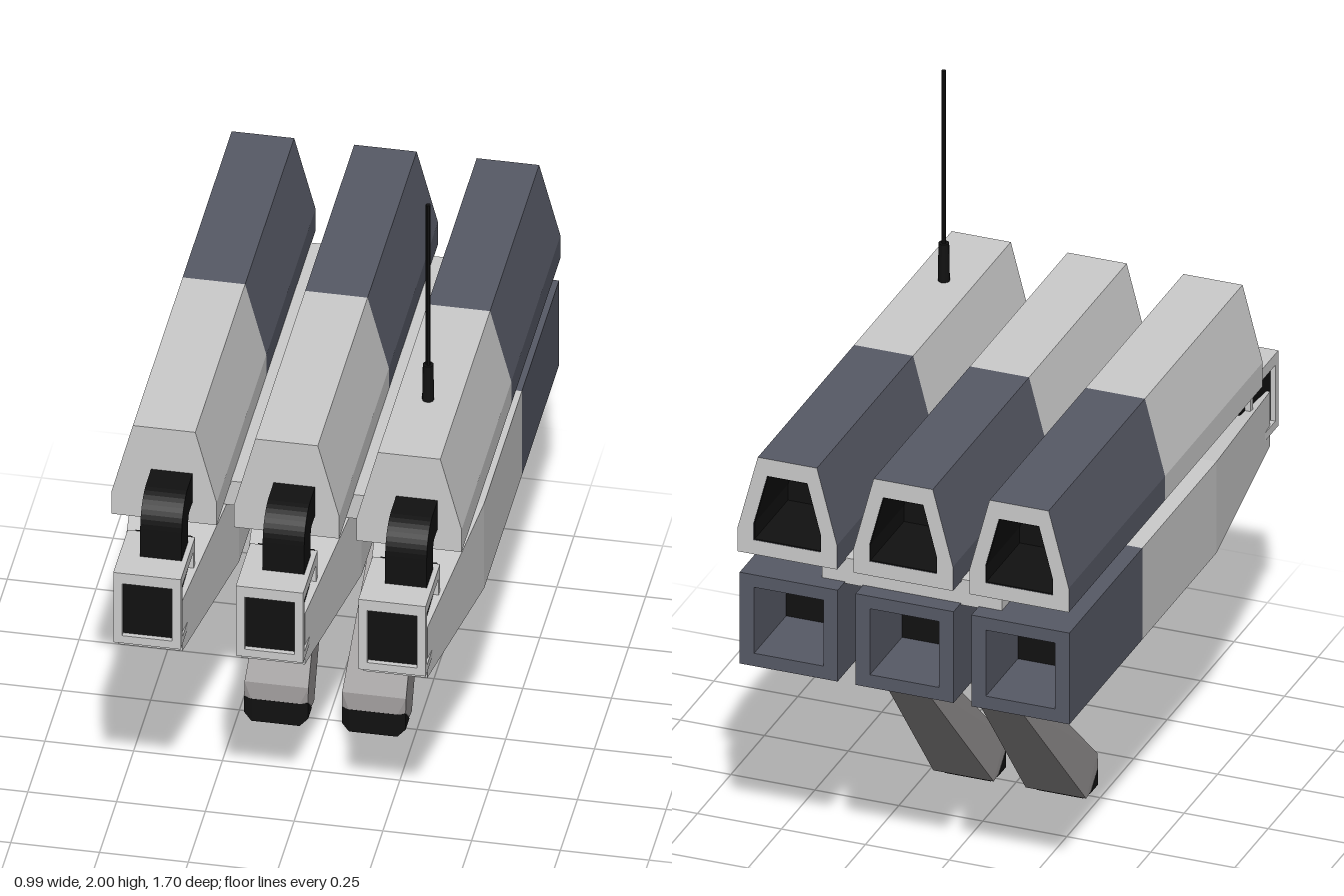
import * as THREE from 'three';
import { ConvexGeometry } from 'three/addons/geometries/ConvexGeometry.js';

const mat = (color) => new THREE.MeshStandardMaterial({ color, flatShading: true });
const grey = mat(0xcccccc), slate = mat(0x575a66), black = mat(0x111111), legGrey = mat(0x928f8f);

function add(parent, name, geometry, material) {
  const mesh = new THREE.Mesh(geometry, material);
  mesh.name = name;
  parent.add(mesh);
  return mesh;
}

// Box given by its limits on each axis
function box(x0, x1, y0, y1, z0, z1) {
  return new THREE.BoxGeometry(x1 - x0, y1 - y0, z1 - z0)
    .translate((x0 + x1) / 2, (y0 + y1) / 2, (z0 + z1) / 2);
}

// Convex solid mirrored in x, from [halfWidth, y, z] corners
function mirroredHull(corners) {
  return new ConvexGeometry(corners.flatMap(([x, y, z]) =>
    [new THREE.Vector3(x, y, z), new THREE.Vector3(-x, y, z)]));
}

// Straight prism along z, with an optional hole outline
function prism(outline, z0, z1, hole) {
  const points = (list) => list.map(([x, y]) => new THREE.Vector2(x, y));
  const shape = new THREE.Shape(points(outline));
  if (hole) shape.holes.push(new THREE.Path(points(hole)));
  return new THREE.ExtrudeGeometry(shape, { depth: z1 - z0, bevelEnabled: false }).translate(0, 0, z0);
}

const scaled = (outline, s, cy) => outline.map(([x, y]) => [x * s, cy + (y - cy) * s]);

// Outline of the upper barrels
const barrel = [[-0.148, 1.04], [0.148, 1.04], [0.148, 1.115], [0.088, 1.345], [-0.088, 1.345], [-0.148, 1.115]];
const square = (h) => [[-h, 0.828 - h], [h, 0.828 - h], [h, 0.828 + h], [-h, 0.828 + h]];

// Bent feed pipe of rectangular section
function elbowGeometry() {
  const s = new THREE.Shape();
  s.moveTo(0.59, 1.205);
  s.lineTo(0.67, 1.205);
  s.absarc(0.67, 1.115, 0.09, Math.PI / 2, 0, true);
  s.lineTo(0.76, 0.98);
  s.lineTo(0.665, 0.98);
  s.lineTo(0.665, 1.09);
  s.absarc(0.645, 1.09, 0.02, 0, Math.PI / 2, false);
  s.lineTo(0.59, 1.11);
  return new THREE.ExtrudeGeometry(s, { depth: 0.117, bevelEnabled: false, curveSegments: 5 })
    .translate(0, 0, -0.0585).rotateY(-Math.PI / 2).translate(0.022, 0, 0);
}

function createTubeModule() {
  const g = new THREE.Group();
  g.name = 'tubeModule';

  // Upper barrel: solid front, hollow dark rear with a light rim
  const bore = scaled(barrel, 0.68, 1.18);
  add(g, 'upperBarrelFront', prism(barrel, -0.13, 0.6), grey);
  add(g, 'upperBarrelRear', prism(barrel, -0.85, -0.13, bore), [grey, slate]);
  add(g, 'upperBoreLining', prism(bore, -0.848, -0.13, scaled(bore, 0.97, 1.18)), black);
  add(g, 'upperBoreEnd', prism(scaled(bore, 0.98, 1.18), -0.6, -0.13), black);

  // Lower housing: tapered nose and hollow rear
  add(g, 'lowerHousingNose', mirroredHull([
    [0.146, 0.685, -0.295], [0.146, 0.97, -0.295], [0.146, 0.685, 0.26], [0.146, 0.97, 0.26],
    [0.09, 0.745, 0.8], [0.09, 0.915, 0.8],
  ]), grey);
  add(g, 'lowerHousingRear', prism([[-0.146, 0.685], [0.146, 0.685], [0.146, 0.97], [-0.146, 0.97]],
    -0.84, -0.295, square(0.103)), slate);
  add(g, 'lowerBoreEnd', prism(square(0.103), -0.6, -0.3), black);

  // Open sensor frame around a dark core
  add(g, 'sensorCore', box(-0.08, 0.08, 0.8, 0.995, 0.6, 0.835), black);
  add(g, 'frameTop', box(-0.095, 0.095, 0.985, 1.02, 0.64, 0.85), grey);
  add(g, 'frameBottom', box(-0.095, 0.095, 0.785, 0.81, 0.64, 0.85), grey);
  for (const [x0, x1] of [[-0.095, -0.07], [0.07, 0.095]]) {
    add(g, 'frameFrontPost', box(x0, x1, 0.81, 0.985, 0.828, 0.85), grey);
    add(g, 'frameRearPost', box(x0, x1, 0.81, 0.985, 0.64, 0.66), grey);
  }
  add(g, 'feedPipe', elbowGeometry(), black);
  return g;
}

function createLeg() {
  const g = new THREE.Group();
  g.name = 'leg';
  add(g, 'legBeam', mirroredHull([
    [0.045, 0.655, -0.525], [0.045, 0.605, -0.57], [0.058, 0.61, -0.475], [0.058, 0.56, -0.535],
    [0.09, 0.12, 0.03], [0.09, 0.02, -0.055], [0.09, 0.075, 0.035], [0.09, 0.025, -0.02],
    [0.068, 0.072, 0.045], [0.068, 0.003, -0.022],
  ]), legGrey);
  add(g, 'footPad', mirroredHull([
    [0.068, 0.074, 0.045], [0.068, 0, 0.045], [0.068, 0, -0.022],
    [0.09, 0.073, 0.035], [0.09, 0.02, 0.035], [0.09, 0.02, -0.02],
  ]), black);
  // Pivot and mounting plate
  add(g, 'legPivot', box(-0.026, 0.026, 0.6, 0.68, -0.557, -0.53), black);
  add(g, 'mountPlate', box(-0.13, 0.13, 0.673, 0.688, -0.643, -0.447), black);
  return g;
}

export function createModel() {
  const model = new THREE.Group();
  model.name = 'launcher';

  for (const x of [-0.347, -0.002, 0.343]) {
    const tube = createTubeModule();
    tube.position.x = x;
    model.add(tube);
  }
  add(model, 'connectingPlate', box(-0.27, 0.265, 0.965, 1.045, -0.785, 0.39), grey);

  for (const x of [-0.14, 0.135]) {
    const leg = createLeg();
    leg.position.x = x;
    model.add(leg);
  }

  // Antenna
  add(model, 'antennaBase', new THREE.CylinderGeometry(0.015, 0.017, 0.125, 12).translate(0.343, 1.4, 0.32), black);
  add(model, 'antennaRod', new THREE.CylinderGeometry(0.007, 0.007, 0.55, 8).translate(0.343, 1.725, 0.32), black);
  return model;
}
